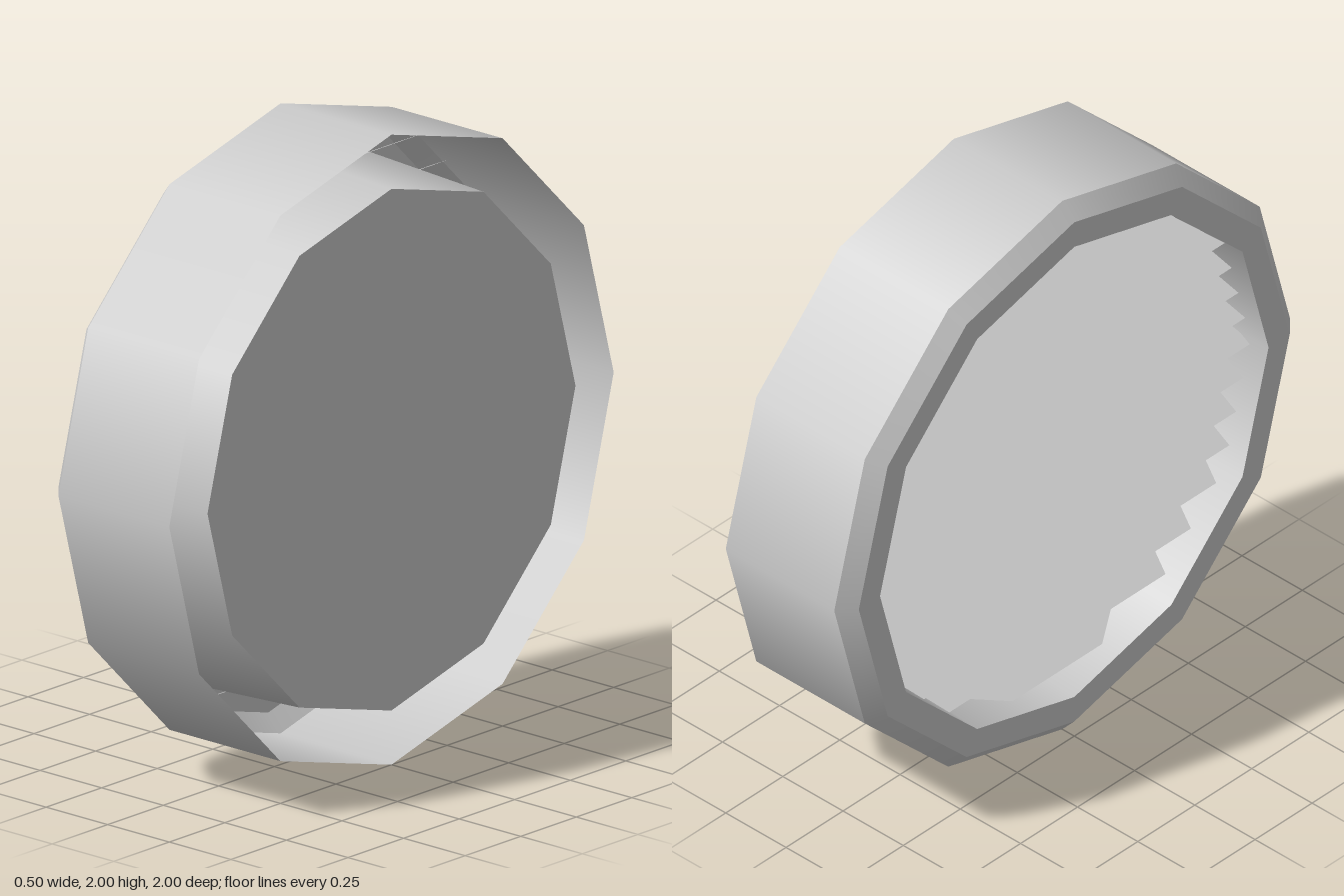
import * as THREE from 'three';

export function createModel() {
  const model = new THREE.Group();
  const grey = new THREE.MeshStandardMaterial({ color: 0xcccccc, side: THREE.DoubleSide });
  grey.name = 'light grey';

  // Twelve-sided band around the x axis, from (radius, x) to (radius, x)
  function band(name, r1, x1, r2, x2) {
    const profile = [new THREE.Vector2(r1, x1), new THREE.Vector2(r2, x2)];
    const geometry = new THREE.LatheGeometry(profile, 12).rotateZ(-Math.PI / 2);
    const mesh = new THREE.Mesh(geometry, grey);
    mesh.name = name;
    mesh.position.y = 1;
    model.add(mesh);
  }

  // Outer casing, open towards +x
  band('casing', 1, -0.2, 1, 0.25);
  band('casingChamfer', 0.945, -0.25, 1, -0.2);
  band('grilleRim', 0.852, -0.25, 0.945, -0.25);

  // Inner drum, closed by a disc at +x and open at the grille
  band('innerDrum', 0.852, -0.25, 0.828, 0.25);
  band('drumCover', 0.828, 0.25, 0, 0.25);

  // Thin louvre slats, sloping down towards the grille opening
  const halfWidths = [0.5, 0.655, 0.67, 0.73, 0.89, 0.89, 0.89, 0.89,
    0.89, 0.89, 0.89, 0.83, 0.76, 0.655, 0.535];
  const depth = 0.08, rise = 0.038;
  const louvres = new THREE.Group();
  louvres.name = 'louvres';
  halfWidths.forEach((w, i) => {
    const slat = new THREE.Mesh(new THREE.PlaneGeometry(Math.hypot(depth, rise), 2 * w).rotateX(-Math.PI / 2), grey);
    slat.name = 'louvreSlat';
    slat.rotation.z = Math.atan2(rise, depth);
    slat.position.set(-0.14, 1 + (i - 7) * 0.111, 0);
    louvres.add(slat);
  });
  model.add(louvres);

  return model;
}
